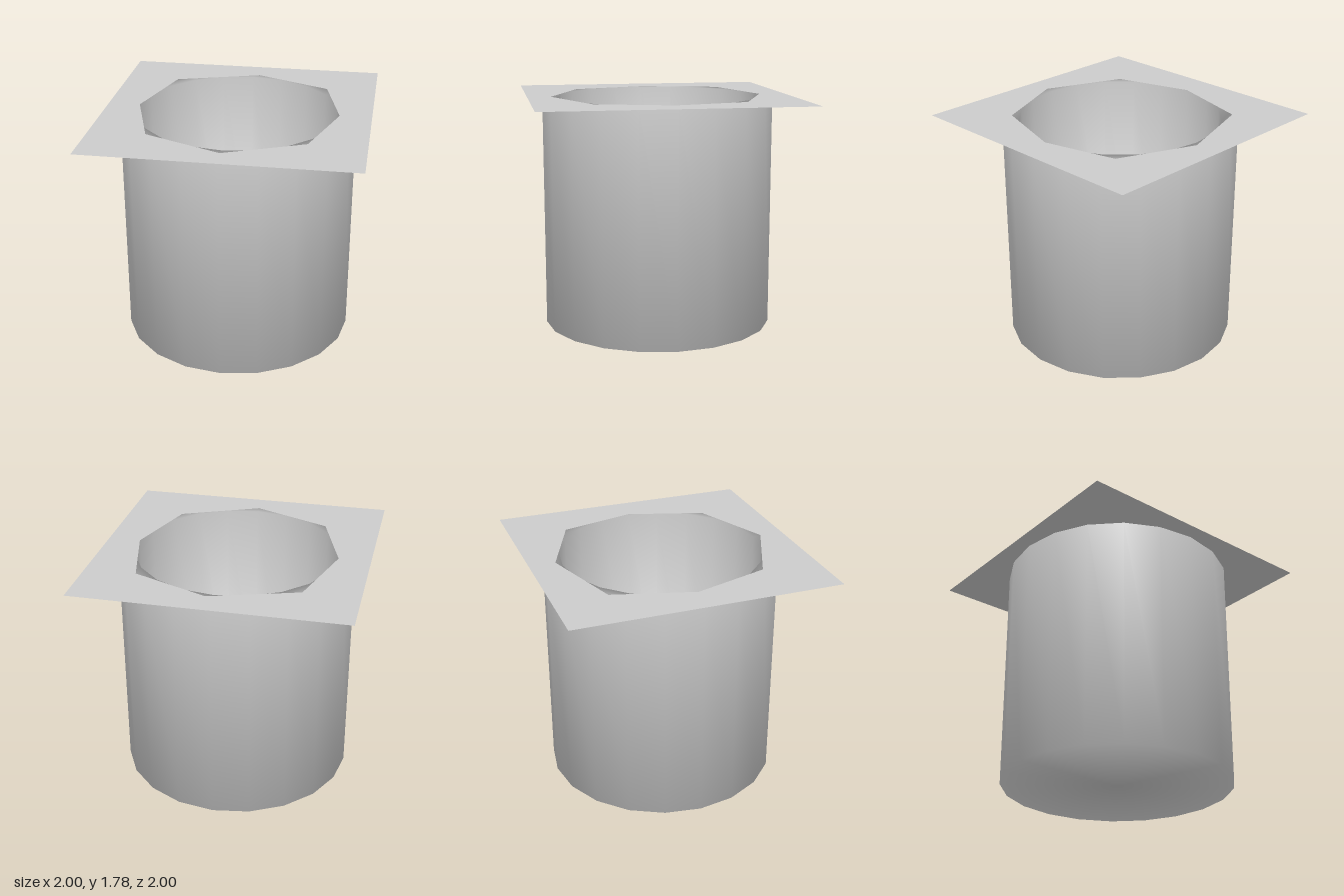
import * as THREE from 'three';

const HEIGHT = 1.772;   // top of the pot
const OUTER = 0.885;
const INNER = 0.76;
const FLOOR = 0.12;

export function createModel() {
  const group = new THREE.Group();
  const grey = new THREE.MeshStandardMaterial({ color: 0xcccccc, side: THREE.DoubleSide });

  // Thick-walled round pot, 20 sides, smoothed over its corners
  const profile = [
    [0, 0], [OUTER, 0], [OUTER, HEIGHT], [INNER, HEIGHT], [INNER, FLOOR], [0, FLOOR],
  ].map(([r, y]) => new THREE.Vector2(r, y));
  const pot = new THREE.Mesh(new THREE.LatheGeometry(profile, 20), grey);
  pot.name = 'pot';
  group.add(pot);

  // Thin square plate on the rim, with a slightly uneven eight-sided opening
  const outline = new THREE.Shape([[-1, -1], [1, -1], [1, 1], [-1, 1]]
    .map(([x, z]) => new THREE.Vector2(x, z)));
  const opening = [
    [0, 0.82], [0.58, 0.57], [0.76, 0], [0.62, -0.56],
    [0.05, -0.8], [-0.59, -0.6], [-0.76, 0], [-0.58, 0.57],
  ];
  // Shape y becomes -z once the plate is laid flat
  outline.holes.push(new THREE.Path(opening.map(([x, z]) => new THREE.Vector2(x, -z))));
  const plate = new THREE.Mesh(new THREE.ShapeGeometry(outline).rotateX(-Math.PI / 2), grey);
  plate.name = 'topPlate';
  plate.position.y = 1.777;
  group.add(plate);

  return group;
}
